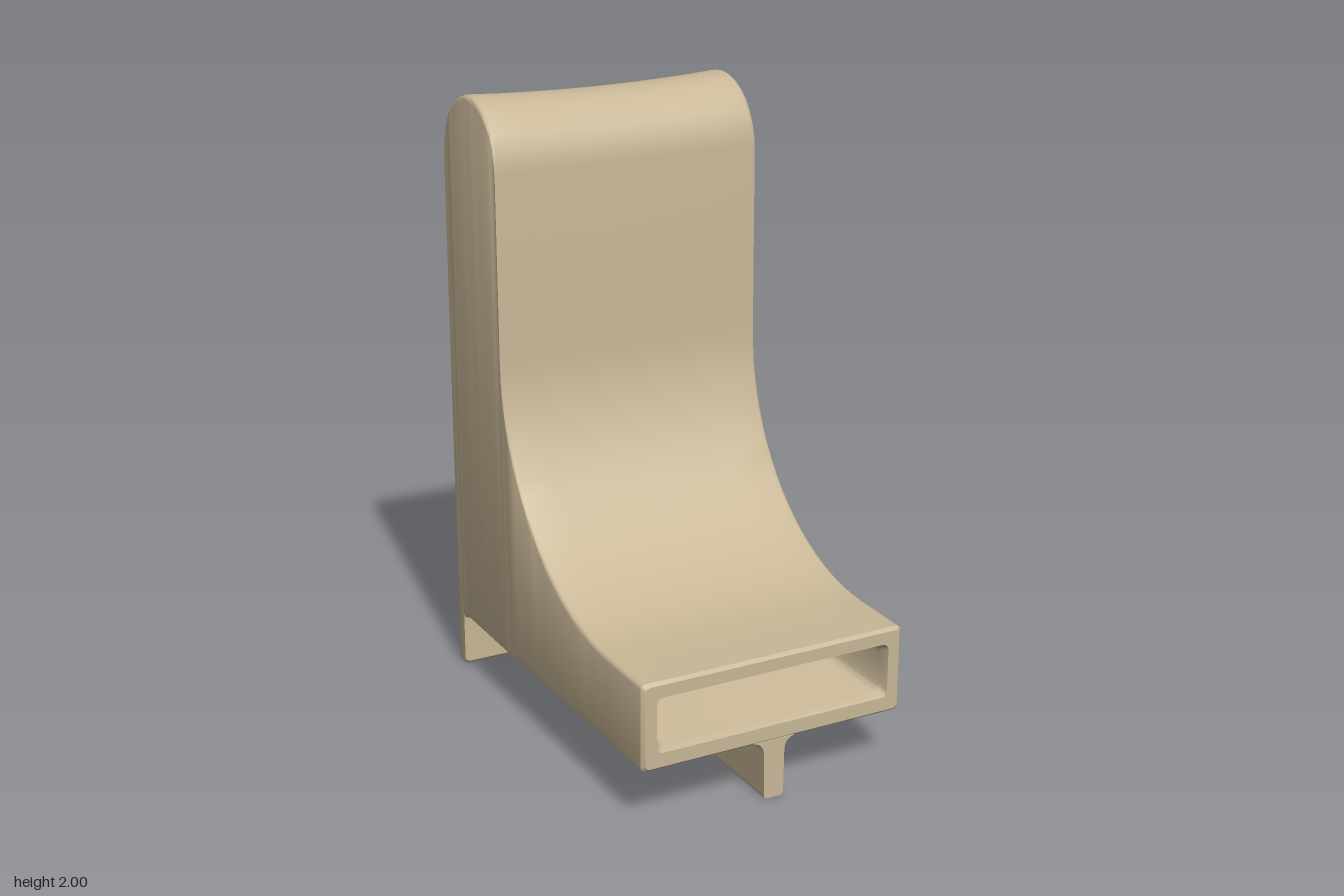
import * as THREE from 'three';
import { toCreasedNormals } from 'three/addons/utils/BufferGeometryUtils.js';

// Rounded rectangle section at depth z, counter-clockwise seen from the front
function section(z, w, y0, y1, r = 0.015, sag = 0) {
  const pts = [];
  const corner = (cx, cy, start) => {
    for (let k = 0; k <= 3; k++) {
      const a = start + (k / 3) * Math.PI / 2;
      pts.push([cx + r * Math.cos(a), cy + r * Math.sin(a), z]);
    }
  };
  corner(w - r, y0 + r, -Math.PI / 2);
  corner(w - r, y1 - r, 0);
  for (let k = 1; k < 8; k++) {
    const u = 1 - k / 4;
    pts.push([u * (w - r), y1 - sag * (1 - u * u), z]);
  }
  corner(-w + r, y1 - r, Math.PI / 2);
  corner(-w + r, y0 + r, Math.PI);
  return pts;
}

// Skin a list of sections and close both ends
function loft(loops) {
  const n = loops[0].length;
  const pos = loops.flat(2);
  const index = [];
  for (let j = 0; j < loops.length - 1; j++) {
    for (let i = 0; i < n; i++) {
      const a = j * n + i, b = j * n + (i + 1) % n;
      const c = b + n, d = a + n;
      index.push(a, d, b, b, d, c);
    }
  }
  const cap = (j, flip) => {
    const ys = loops[j].map((p) => p[1]);
    const centre = pos.length / 3;
    pos.push(0, (Math.min(...ys) + Math.max(...ys)) / 2, loops[j][0][2]);
    for (let i = 0; i < n; i++) {
      const a = j * n + i, b = j * n + (i + 1) % n;
      index.push(centre, flip ? b : a, flip ? a : b);
    }
  };
  cap(0, false);
  cap(loops.length - 1, true);
  const g = new THREE.BufferGeometry();
  g.setAttribute('position', new THREE.Float32BufferAttribute(pos, 3));
  g.setIndex(index);
  return toCreasedNormals(g, 0.6);
}

export function createModel() {
  const group = new THREE.Group();
  const tan = new THREE.MeshStandardMaterial({ color: 0xc8b797 });
  tan.name = 'tan';
  const add = (name, geometry) => {
    const mesh = new THREE.Mesh(geometry, tan);
    mesh.name = name;
    group.add(mesh);
  };

  const base = 0.19;
  const loops = [
    // front slot, from its back wall out to the rim
    section(0.15, 0.34, 0.28, 0.4, 0.03),
    section(0.2, 0.37, 0.265, 0.41, 0.03),
    section(0.64, 0.39, 0.255, 0.415, 0.03),
    section(0.672, 0.402, 0.245, 0.425, 0.02),
    // front edge of the foot
    section(0.672, 0.44, base + 0.01, 0.465),
    section(0.66, 0.45, base, 0.474),
  ];
  // concave sweep from the foot up to the post
  for (let i = 0; i <= 20; i++) {
    const a = (i / 20) * Math.PI / 2;
    loops.push(section(0.45 - 0.72 * Math.sin(a), 0.451 + 0.007 * (i / 20), base, 1.2 - 0.725 * Math.cos(a)));
  }
  // rounded top, with the back plate dropping to the ground behind the foot
  for (let i = 0; i <= 16; i++) {
    const a = (i / 16) * Math.PI;
    const z = -0.473 + 0.2 * Math.cos(a), y = 1.79 + 0.21 * Math.sin(a);
    const sag = 0.015 * Math.sin(a);
    if (i <= 12) loops.push(section(z, 0.458, base, y, 0.015, sag));
    if (i === 12) loops.push(section(z - 0.012, 0.458, base - 0.015, y - 0.01, 0.015, sag));
    if (i === 12) loops.push(section(z - 0.015, 0.456, 0.012, y - 0.014, 0.015, sag));
    if (i > 12) loops.push(section(z, 0.456, 0, y, 0.015, sag));
  }
  loops.push(section(-0.675, 0.445, 0.01, 1.775));
  add('body', loft(loops));

  // lengthwise fin under the foot, flared where it meets the underside
  const s = new THREE.Shape();
  s.moveTo(-0.022, 0);
  s.lineTo(0.022, 0);
  s.quadraticCurveTo(0.034, 0, 0.034, 0.015);
  s.lineTo(0.036, 0.155);
  s.quadraticCurveTo(0.038, 0.188, 0.07, 0.195);
  s.lineTo(-0.07, 0.195);
  s.quadraticCurveTo(-0.038, 0.188, -0.036, 0.155);
  s.lineTo(-0.034, 0.015);
  s.quadraticCurveTo(-0.034, 0, -0.022, 0);
  const fin = new THREE.ExtrudeGeometry(s, { depth: 1.31, bevelEnabled: false, curveSegments: 5 });
  fin.translate(0, 0, -0.64);
  add('fin', toCreasedNormals(fin, 0.6));

  return group;
}
